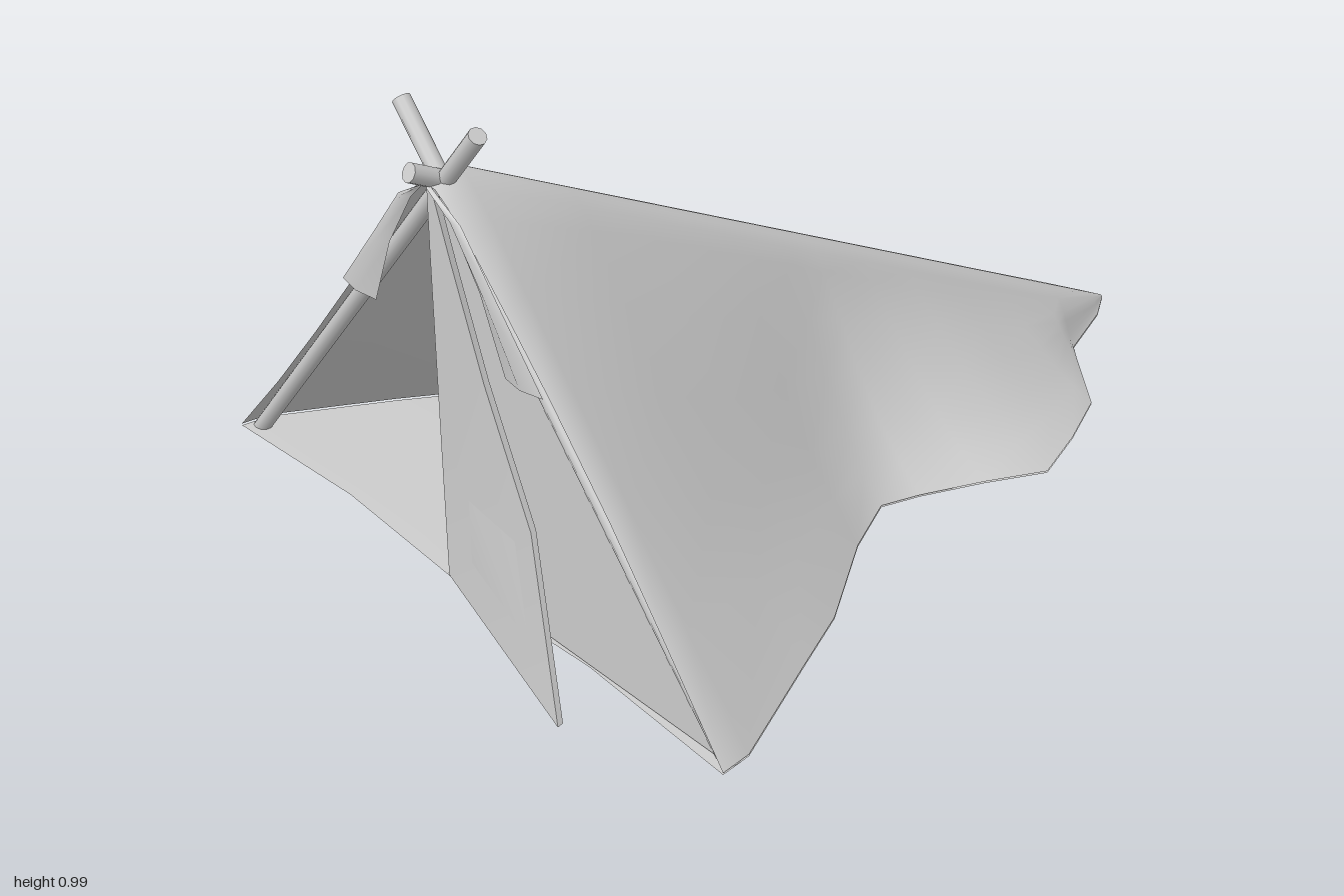
import * as THREE from 'three';
import { toCreasedNormals } from 'three/addons/utils/BufferGeometryUtils.js';

const pole = new THREE.MeshStandardMaterial({ color: 0xcccccc });
const cloth = new THREE.MeshStandardMaterial({ color: 0xcccccc, side: THREE.DoubleSide });
const V = (x, y, z) => new THREE.Vector3(x, y, z);
const { lerp, smoothstep } = THREE.MathUtils;

// Skin a surface through rows of points, all rows having the same count
function skin(rows) {
  const n = rows[0].length, index = [];
  for (let i = 0; i < rows.length - 1; i++) {
    for (let j = 0; j < n - 1; j++) {
      const a = i * n + j, b = a + n;
      index.push(a, a + 1, b, a + 1, b + 1, b);
    }
  }
  const g = new THREE.BufferGeometry().setFromPoints(rows.flat());
  g.setIndex(index);
  g.computeVertexNormals();
  return g;
}

function add(group, name, geometry, material) {
  const m = new THREE.Mesh(geometry, material);
  m.name = name;
  group.add(m);
  return m;
}

function addPole(group, name, a, b, r) {
  const m = add(group, name, new THREE.CylinderGeometry(r, r, a.distanceTo(b), 10), pole);
  m.position.copy(a).lerp(b, 0.5);
  m.quaternion.setFromUnitVectors(V(0, 1, 0), b.clone().sub(a).normalize());
}

// Hem of the left half from front to back: x, y, z
const hem = [
  [0.805, 0.035, 0.865], [0.797, 0.037, 0.8], [0.67, 0.04, 0.56], [0.59, 0.038, 0.41],
  [0.43, 0.033, 0.2], [0.35, 0.03, 0.06], [0.37, 0.028, -0.03], [0.42, 0.027, -0.17],
  [0.475, 0.025, -0.3], [0.41, 0.022, -0.45], [0.33, 0.018, -0.6], [0.15, 0.008, -0.75],
  [0.11, 0.006, -0.785], [0.045, 0.015, -0.94], [0.005, 0.025, -1],
];
// Half profile at the front, from ridge to hem, as fractions of width and height
const frontProfile = [[0, 1], [0.03, 0.995], [0.07, 0.965], [0.13, 0.91], [0.25, 0.78], [0.4, 0.62], [0.6, 0.41], [0.8, 0.2], [1, 0]];
// Rounded ridge cap as fractions of its size, then the sagging side below it
const cap = [[0, 0], [0.4, 0.08], [0.75, 0.4], [1, 1]];
const side = [[0.18, 0.77], [0.38, 0.52], [0.6, 0.29], [0.8, 0.13], [1, 0]];

function ridgeHeight(z) {
  return z > 0.81 ? 0.865 : 0.505 + 0.475 * z;
}

// One cross-section of the cover, hem to hem over the ridge
function section([x, y, z], row) {
  const k = smoothstep(z, 0.3, 0.8);
  const top = Math.max(ridgeHeight(z), y + 0.005);
  const w = Math.min(0.075, 0.7 * x), drop = Math.min(0.06, 0.4 * (top - y));
  const back = [
    ...cap.map(([u, v]) => [u * w, top - v * drop]),
    ...side.map(([u, v]) => [lerp(w, x, u), lerp(y, top - drop, v)]),
  ];
  const half = frontProfile.map(([u, v], i) => {
    const inset = row === 0 ? 0.02 * Math.sin(Math.PI * u) : 0;
    return V(lerp(back[i][0], u * x, k), lerp(back[i][1], lerp(y, top, v), k), z - inset);
  });
  const other = half.slice(1).reverse().map(p => V(-p.x, p.y, p.z));
  return [...other, ...half];
}

export function createModel() {
  const tent = new THREE.Group();
  tent.name = 'tent';

  // Cover over the ridge and the ground sheet inside its hem
  add(tent, 'cover', skin(hem.map(section)), cloth);
  const floorRows = hem.map(([x, y, z], i) =>
    [1, 0.5, 0, -0.5, -1].map(f => V(x * f, y - 0.004, z - (i === 0 && Math.abs(f) === 0.5 ? 0.02 : 0))));
  add(tent, 'groundSheet', skin(floorRows), cloth);

  // Crossed front poles, and ridge pole running down to the back
  for (const s of [1, -1]) {
    addPole(tent, s > 0 ? 'leftFrontPole' : 'rightFrontPole', V(s * 0.787, 0.02, 0.83), V(-s * 0.12, 0.985, 0.83), 0.018);
  }
  addPole(tent, 'ridgePole', V(0, 0.897, 0.9), V(0, 0.02, -0.92), 0.019);

  // Cover edges folded over the front poles
  for (const s of [1, -1]) {
    const rows = [[0, 0.868, 0.02, 0.855], [0.1, 0.815, 0.06, 0.82], [0.2, 0.7, 0.145, 0.7], [0.325, 0.56, 0.21, 0.555]]
      .map(([x1, y1, x2, y2]) => [V(s * x1, y1, 0.863), V(s * (x1 + x2) / 2, (y1 + y2) / 2, 0.872), V(s * x2, y2, 0.862)]);
    add(tent, s > 0 ? 'leftFold' : 'rightFold', skin(rows), cloth);
  }

  // Closed half of the front, from the middle out to the left pole
  const panelRows = [[-0.005, 0.03, 0.845], [-0.02, 0.775, 0.035]]
    .map(([x1, x2, y], i) => [V(x1, i ? y : 0.845, 0.845), V(x2, i ? y : 0.845, 0.843)]);
  add(tent, 'frontPanel', skin(panelRows), cloth);

  // Door flap swinging outward: outer edge x, y, z
  const t = 0.014;
  const flapRows = [[0.005, 0.87, 0.862], [0.06, 0.73, 0.864], [0.15, 0.52, 0.868], [0.32, 0.3, 0.9], [0.51, 0.03, 0.995]]
    .map(([x, y, z], i) => {
      const hx = -0.005 - 0.004 * i, hz = 0.862;
      return [V(hx, y, hz), V(x, y, z), V(x - 0.004, y, z - t), V(hx, y, hz - t), V(hx, y, hz)];
    });
  add(tent, 'doorFlap', toCreasedNormals(skin(flapRows), 0.7), cloth);

  return tent;
}
